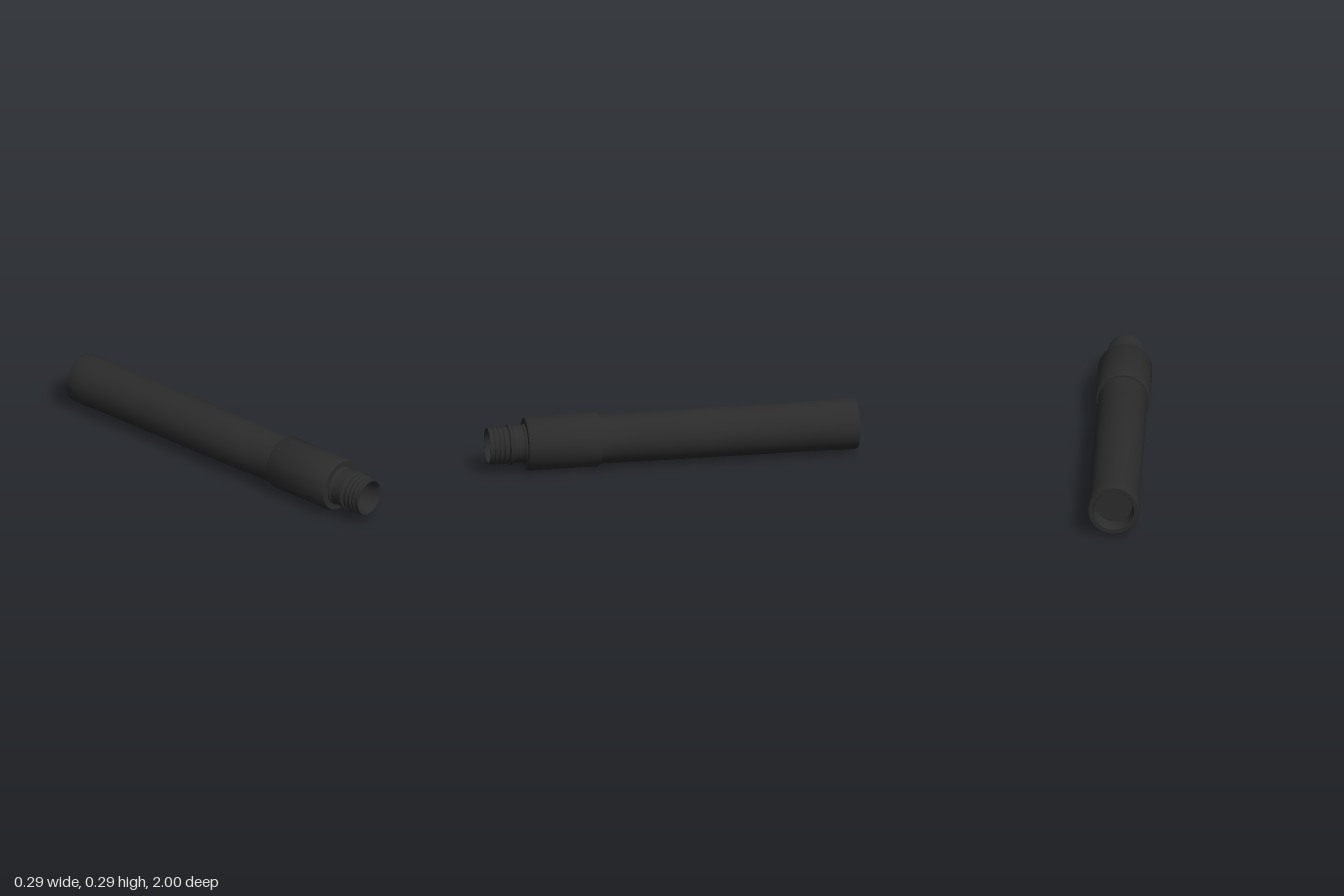
import * as THREE from 'three';
import { toCreasedNormals } from 'three/addons/utils/BufferGeometryUtils.js';

const SIDES = 22;

// Turns a [radius, z] profile around the slightly rising long axis.
function turned(name, profile, material) {
  const points = profile.map(([r, z]) => new THREE.Vector2(r, z));
  const geometry = new THREE.LatheGeometry(points, SIDES);
  geometry.rotateX(Math.PI / 2);
  const p = geometry.attributes.position;
  for (let i = 0; i < p.count; i++) {
    const z = p.getZ(i);
    p.setX(i, p.getX(i) - 0.0025 * z);
    p.setY(i, p.getY(i) + 0.15 - 0.003 * z);
  }
  const mesh = new THREE.Mesh(toCreasedNormals(geometry, 0.6), material);
  mesh.name = name;
  return mesh;
}

export function createModel() {
  const group = new THREE.Group();
  group.name = 'threadedTube';
  const black = new THREE.MeshStandardMaterial({ color: 0x2b2b2b });
  black.name = 'matte black';

  // Long barrel with a gently flared, recessed rear end
  group.add(turned('barrel', [
    [0, -0.92], [0.1, -0.92], [0.107, -0.99], [0.112, -1], [0.134, -1], [0.138, -0.99],
    [0.138, -0.91], [0.135, -0.85], [0.134, -0.2], [0.133, 0.19], [0.131, 0.2], [0.131, 0.41],
  ], black));

  // Thicker sleeve with bevelled ends
  group.add(turned('sleeve', [
    [0.125, 0.4], [0.141, 0.4], [0.145, 0.407], [0.145, 0.785], [0.138, 0.797], [0.09, 0.797],
  ], black));

  // Neck: shoulder, retaining ring, thread ridges and hollow mouth
  const neck = [[0.106, 0.79], [0.106, 0.806], [0.1, 0.814], [0.1, 0.868],
    [0.109, 0.874], [0.109, 0.888], [0.098, 0.895]];
  for (let i = 0; i < 3; i++) {
    const z = 0.905 + i * 0.026;
    neck.push([0.098, z], [0.103, z + 0.007], [0.103, z + 0.014], [0.098, z + 0.02]);
  }
  neck.push([0.101, 0.985], [0.099, 1], [0.091, 1], [0.082, 0.975], [0.079, 0.86], [0, 0.86]);
  group.add(turned('threadedNeck', neck, black));

  return group;
}
